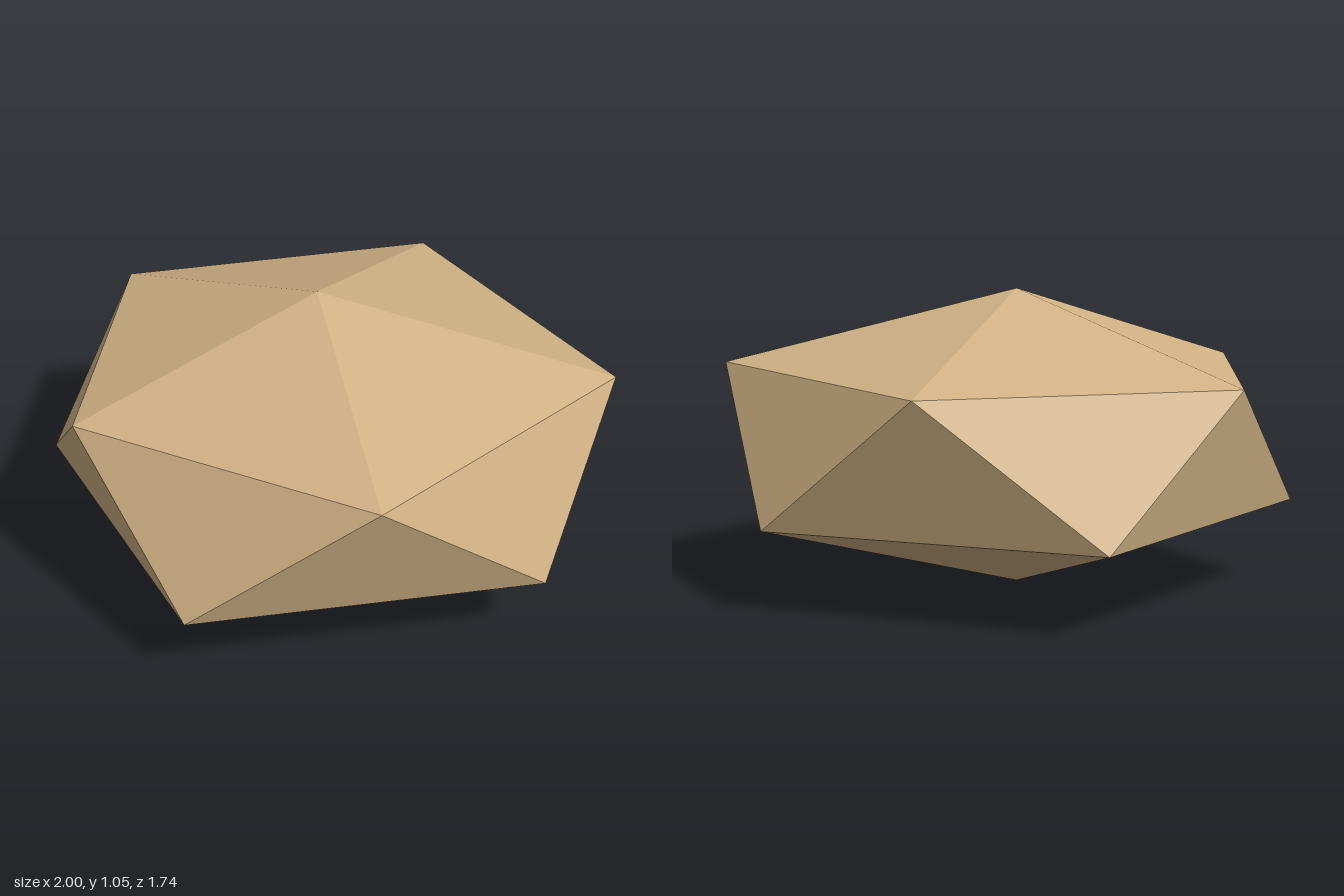
import * as THREE from 'three';

export function createModel() {
  const model = new THREE.Group();
  model.name = 'rock';

  const sandstone = new THREE.MeshStandardMaterial({ color: 0xd0b184 });
  sandstone.name = 'sandstone';

  // Two slightly irregular five-point rings, each counterclockwise from above
  const top = [-0.03, 1.05, -0.01];
  const bottom = [-0.03, 0, -0.01];
  const upper = [
    [1.0, 0.785, -0.01], [0.27, 0.775, -0.83], [-0.79, 0.765, -0.49],
    [-0.79, 0.765, 0.47], [0.28, 0.78, 0.83],
  ];
  const lower = [
    [0.8, 0.29, -0.54], [-0.35, 0.29, -0.87], [-1.0, 0.305, -0.015],
    [-0.36, 0.285, 0.87], [0.81, 0.29, 0.52],
  ];

  // Cap, zigzag belt and underside; unshared corners keep every facet flat
  const corners = [];
  for (let i = 0; i < 5; i++) {
    const j = (i + 1) % 5;
    corners.push(top, upper[i], upper[j]);
    corners.push(upper[i], lower[i], upper[j]);
    corners.push(lower[i], lower[j], upper[j]);
    corners.push(bottom, lower[j], lower[i]);
  }
  const geometry = new THREE.BufferGeometry();
  geometry.setAttribute('position', new THREE.Float32BufferAttribute(corners.flat(), 3));
  geometry.computeVertexNormals();

  const stone = new THREE.Mesh(geometry, sandstone);
  stone.name = 'facetedStone';
  model.add(stone);
  return model;
}
